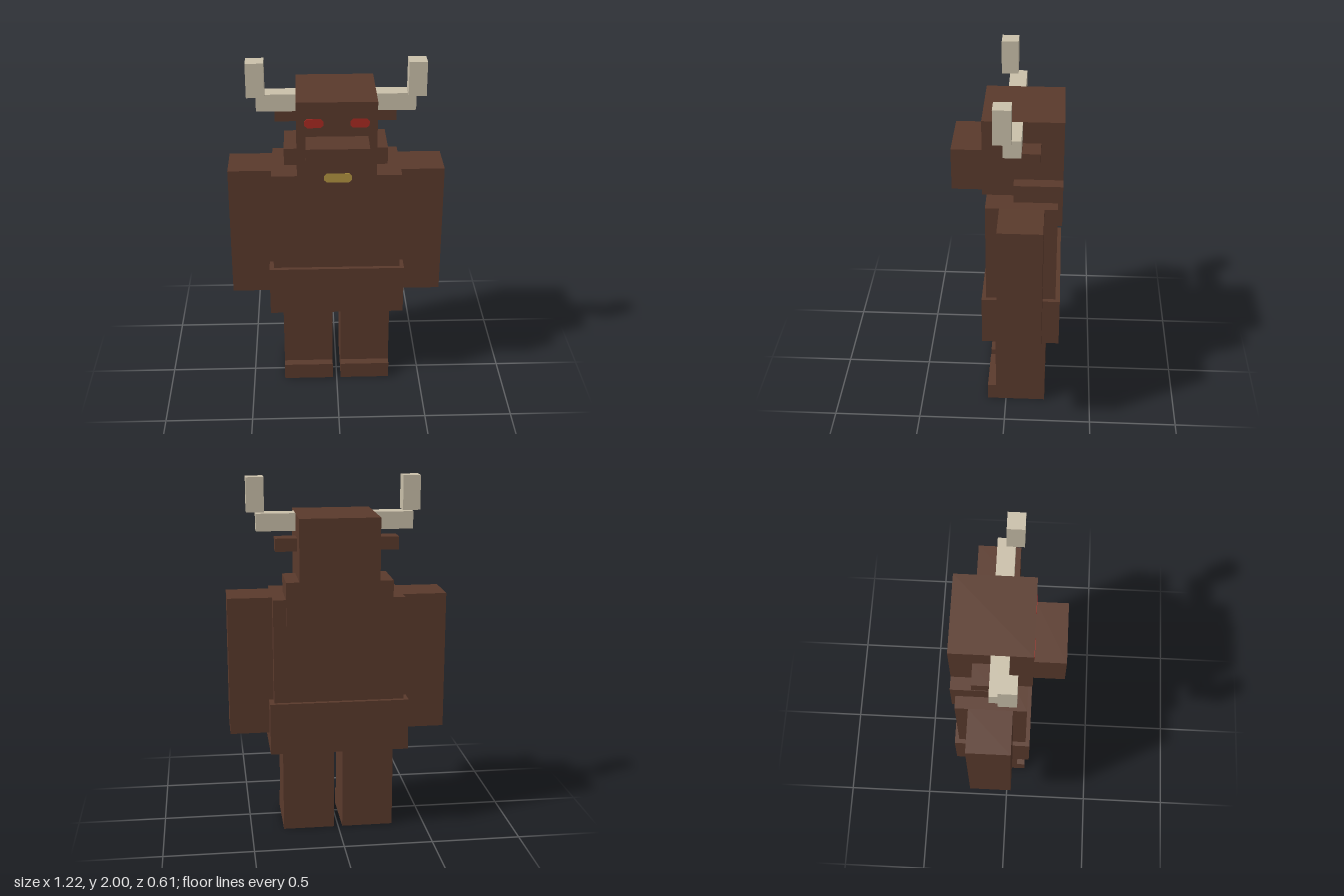
import * as THREE from 'three';

const material = (name, color) => {
  const m = new THREE.MeshStandardMaterial({ color });
  m.name = name;
  return m;
};

export function createModel() {
  const model = new THREE.Group();
  model.name = 'hornedBeast';
  const fur = material('brown fur', 0x5a3a2c);
  const horn = material('pale horn', 0xcac0aa);
  const red = material('red eye', 0xa82a22);
  const gold = material('gold ring', 0xb29440);

  // Box given by its lower and upper limits on each axis
  const box = (name, mat, [x0, x1], [y0, y1], [z0, z1]) => {
    const mesh = new THREE.Mesh(new THREE.BoxGeometry(x1 - x0, y1 - y0, z1 - z0), mat);
    mesh.position.set((x0 + x1) / 2, (y0 + y1) / 2, (z0 + z1) / 2);
    mesh.name = name;
    model.add(mesh);
  };
  // The same box on both sides of the body
  const pair = (name, mat, [x0, x1], y, z) => {
    box('left' + name, mat, [x0, x1], y, z);
    box('right' + name, mat, [-x1, -x0], y, z);
  };
  // Thin plate with cut corners, painted on a front face
  const plate = (name, mat, x, y, z, w, h) => {
    const a = w / 2, b = h / 2, c = 0.015;
    const shape = new THREE.Shape([
      [-a + c, -b], [a - c, -b], [a, -b + c], [a, b - c],
      [a - c, b], [-a + c, b], [-a, b - c], [-a, -b + c],
    ].map(([u, v]) => new THREE.Vector2(u, v)));
    const geometry = new THREE.ExtrudeGeometry(shape, { depth: 0.003, bevelEnabled: false });
    const mesh = new THREE.Mesh(geometry, mat);
    mesh.position.set(x, y, z);
    mesh.name = name;
    model.add(mesh);
  };

  // Body
  box('torso', fur, [-0.363, 0.363], [0.78, 1.365], [-0.28, 0.108]);
  box('waist', fur, [-0.388, 0.388], [0.49, 0.782], [-0.305, 0.132]);
  pair('Arm', fur, [0.363, 0.608], [0.587, 1.365], [-0.208, 0.033]);

  // Legs and toes
  pair('Leg', fur, [0.024, 0.315], [0, 0.49], [-0.23, 0.06]);
  pair('Toe', fur, [0.024, 0.315], [0, 0.098], [0.06, 0.108]);

  // Head, snout, mane and ears
  box('head', fur, [-0.22, 0.22], [1.365, 1.807], [-0.305, 0.132]);
  box('snout', fur, [-0.17, 0.17], [1.368, 1.61], [0.132, 0.303]);
  box('mane', fur, [-0.293, 0.293], [1.222, 1.465], [-0.305, -0.04]);
  pair('Ear', fur, [0.22, 0.34], [1.612, 1.684], [-0.183, -0.086]);

  // Horns
  pair('HornBase', horn, [0.22, 0.437], [1.71, 1.807], [-0.086, 0.01]);
  pair('HornTip', horn, [0.388, 0.486], [1.807, 2], [-0.037, 0.058]);

  // Face
  for (const s of [1, -1]) plate(s > 0 ? 'leftEye' : 'rightEye', red, s * 0.124, 1.687, 0.132, 0.104, 0.052);
  plate('noseRing', gold, 0, 1.445, 0.303, 0.15, 0.052);

  return model;
}
